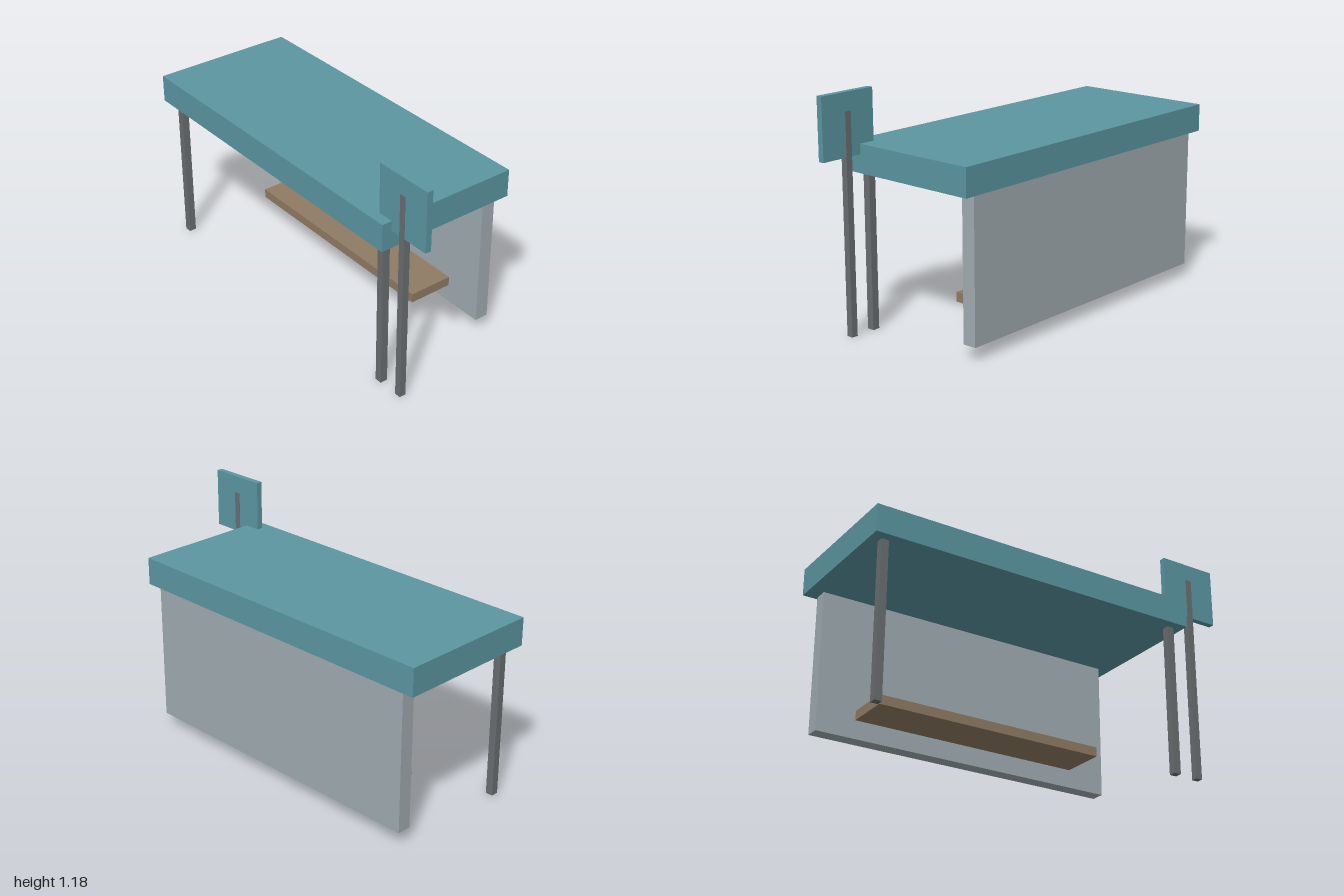
import * as THREE from 'three';

const paint = (name, color) => {
  const m = new THREE.MeshStandardMaterial({ color });
  m.name = name;
  return m;
};

export function createModel() {
  const teal = paint('teal', 0x5b96a1);
  const paleGrey = paint('paleGrey', 0xa0abb0);
  const darkGrey = paint('darkGrey', 0x696e70);
  const wood = paint('wood', 0x8f7b63);

  const group = new THREE.Group();
  group.name = 'shelter';

  // Box given by its extents along each axis
  const box = (name, material, [x0, x1], [y0, y1], [z0, z1]) => {
    const mesh = new THREE.Mesh(new THREE.BoxGeometry(x1 - x0, y1 - y0, z1 - z0), material);
    mesh.position.set((x0 + x1) / 2, (y0 + y1) / 2, (z0 + z1) / 2);
    mesh.name = name;
    group.add(mesh);
  };

  // Shelter: roof slab, back wall and bench
  box('roof', teal, [-1, 0.775], [0.786, 0.927], [-0.376, 0.376]);
  box('backWall', paleGrey, [-0.93, 0.708], [0.07, 0.786], [-0.36, -0.288]);
  box('bench', wood, [-0.727, 0.503], [0.165, 0.213], [-0.288, -0.05]);

  // Two front posts
  for (const [name, x] of [['rightPost', -0.93], ['leftPost', 0.708]]) {
    box(name, darkGrey, [x - 0.019, x + 0.019], [0, 0.786], [0.29, 0.328]);
  }

  // Stop sign: the pole stands slightly proud of both board faces
  box('signPole', darkGrey, [0.828, 0.862], [0, 1.092], [0.291, 0.325]);
  box('signBoard', teal, [0.69, 1], [0.877, 1.182], [0.2925, 0.3235]);

  return group;
}
